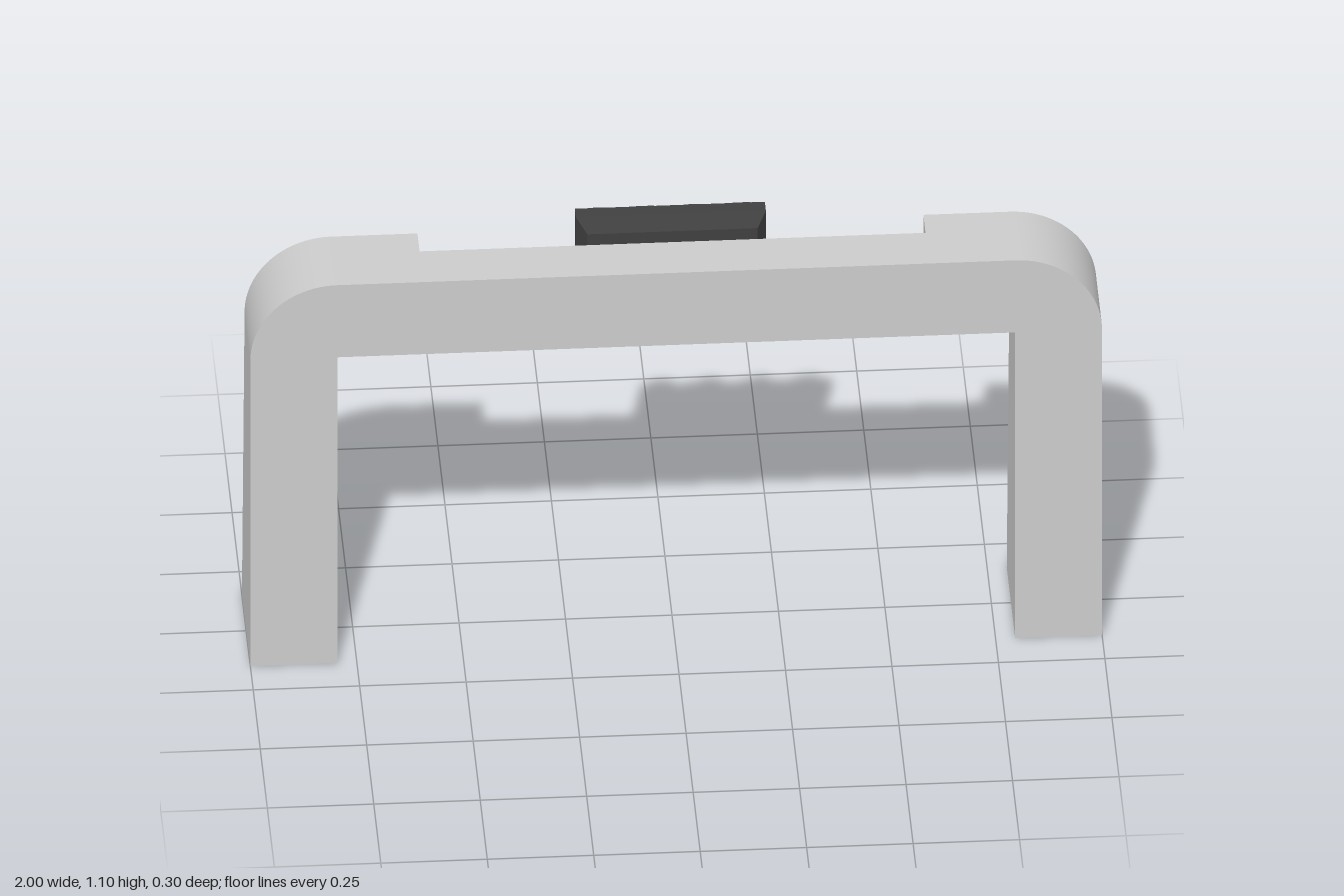
import * as THREE from 'three';
import { toCreasedNormals } from 'three/addons/utils/BufferGeometryUtils.js';

const HEIGHT = 1.064, UNDER = 0.861, LEG_IN = 0.796, STEP = 0.594;
const FRONT = 0.15, BACK = -0.056, RECESS = 0.02, FOOT_BACK = -0.15;

function add(parent, name, geometry, material, x = 0, y = 0, z = 0) {
  const mesh = new THREE.Mesh(geometry, material);
  mesh.name = name;
  mesh.position.set(x, y, z);
  parent.add(mesh);
}

// Box whose vertices are moved by a rule, with hard edges
function shapedBox(size, segments, rule) {
  const g = new THREE.BoxGeometry(...size, ...segments).toNonIndexed();
  const p = g.attributes.position, v = new THREE.Vector3();
  for (let i = 0; i < p.count; i++) {
    rule(v.fromBufferAttribute(p, i));
    p.setXYZ(i, v.x, v.y, v.z);
  }
  g.computeVertexNormals();
  return g;
}

// Rounded corner joining beam and leg; side is +1 or -1
function cornerGeometry(side) {
  const r = HEIGHT - UNDER;
  const points = [new THREE.Vector2(side * STEP, UNDER)];
  for (let i = 0; i <= 24; i++) {
    const a = (i / 24) * Math.PI / 2;
    points.push(new THREE.Vector2(side * (1 - r + r * Math.cos(a)), UNDER + r * Math.sin(a)));
  }
  points.push(new THREE.Vector2(side * STEP, HEIGHT));
  const g = new THREE.ExtrudeGeometry(new THREE.Shape(points), { depth: FRONT - BACK, bevelEnabled: false });
  return toCreasedNormals(g, 0.4);
}

// Block that narrows towards the beam
function blockGeometry() {
  return shapedBox([0.446, 0.111, 0.095], [1, 1, 2], (v) => {
    if (v.z > 0.01) { v.x *= 0.2 / 0.223; v.y *= 0.0455 / 0.0555; }
    else if (v.z > -0.01) v.z = -0.01;
  });
}

// Half hexagon knob
function knobGeometry() {
  const points = [0, 1, 2, 3].map((i) =>
    new THREE.Vector2(0.042 * Math.cos(i * Math.PI / 3), 0.042 * Math.sin(i * Math.PI / 3)));
  return new THREE.ExtrudeGeometry(new THREE.Shape(points), { depth: 0.03, bevelEnabled: false });
}

export function createModel() {
  const group = new THREE.Group();
  group.name = 'archFrame';
  const grey = new THREE.MeshStandardMaterial({ color: 0xcccccc });
  const dark = new THREE.MeshStandardMaterial({ color: 0x404040 });

  // Thin middle beam
  add(group, 'beam', new THREE.BoxGeometry(2 * STEP, HEIGHT - UNDER, FRONT - RECESS), grey,
    0, (HEIGHT + UNDER) / 2, (FRONT + RECESS) / 2);

  // Corners and legs that deepen towards the foot
  const legGeometry = shapedBox([1 - LEG_IN, UNDER, 1], [1, 1, 1], (v) => {
    v.z = v.z > 0 ? FRONT : v.y > 0 ? BACK : FOOT_BACK;
  });
  for (const side of [1, -1]) {
    const label = side > 0 ? 'left' : 'right';
    add(group, label + 'Corner', cornerGeometry(side), grey, 0, 0, BACK);
    add(group, label + 'Leg', legGeometry, grey, side * (1 + LEG_IN) / 2, UNDER / 2, 0);
  }

  // Two rows of blocks on the back of the beam, four knobs each
  const block = blockGeometry(), knob = knobGeometry();
  [['upper', 1.049], ['lower', 0.922]].forEach(([label, y]) => {
    const row = new THREE.Group();
    row.name = label + 'Row';
    row.position.y = y;
    add(row, label + 'Block', block, dark, 0, 0, -0.0275);
    for (let i = 0; i < 4; i++) add(row, 'knob', knob, dark, (i - 1.5) * 0.1135, 0, -0.105);
    group.add(row);
  });
  return group;
}
